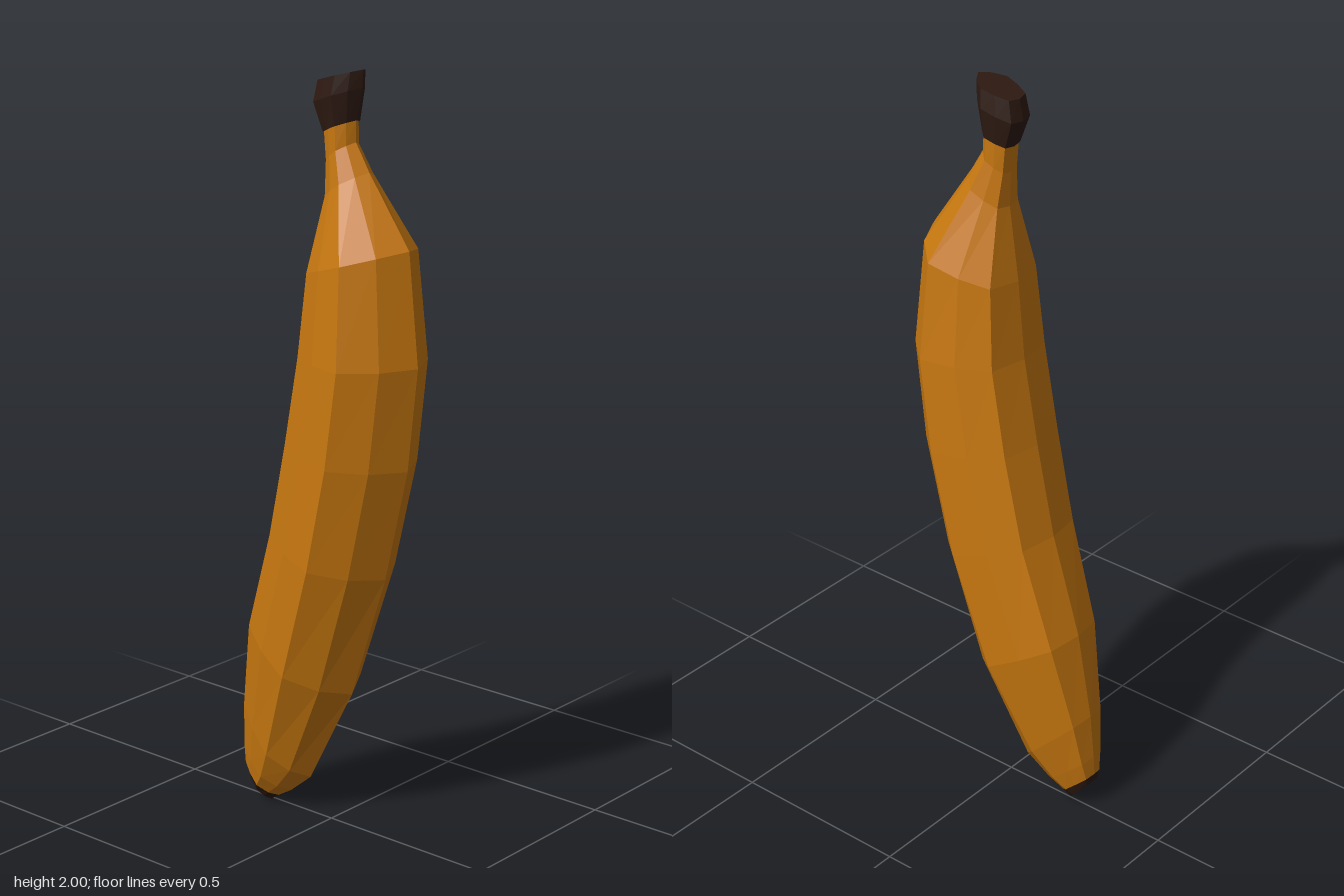
import * as THREE from 'three';

// Half of the five-ridged section: [share of half width, share of the way front to back]
const half = [[0, 0], [0.57, 0.14], [1, 0.38], [0.88, 0.68], [0.62, 0.94], [0, 1]];
const section = [...half, ...half.slice(1, -1).reverse().map(([x, t]) => [-x, t])];

// Rings from top to bottom: front z, front y, back z, back y, half width, x offset
const stemRings = [
  [0.11, 2.0, -0.018, 1.965, 0.05, -0.009],
  [0.107, 1.955, -0.028, 1.91, 0.057, -0.01],
  [0.09, 1.875, -0.003, 1.84, 0.046, -0.008],
];
const peelRings = [
  [0.086, 1.875, 0.0, 1.84, 0.042, -0.008],
  [0.086, 1.82, 0.007, 1.77, 0.043, -0.008],
  [0.127, 1.75, 0.01, 1.68, 0.063, -0.006],
  [0.25, 1.57, -0.022, 1.49, 0.143, 0],
  [0.28, 1.28, -0.042, 1.28, 0.167, 0],
  [0.25, 1.01, -0.085, 1.05, 0.17, 0],
  [0.18, 0.71, -0.14, 0.8, 0.166, 0],
  [0.07, 0.37, -0.225, 0.53, 0.147, 0],
  [-0.07, 0.1, -0.266, 0.29, 0.094, -0.004],
  [-0.135, 0.045, -0.276, 0.16, 0.064, -0.008],
  [-0.18, 0.018, -0.278, 0.105, 0.046, -0.01],
];
const tipRings = [
  [-0.18, 0.018, -0.278, 0.105, 0.046, -0.01],
  [-0.205, 0, -0.274, 0.08, 0.032, -0.01],
];

// Skins a stack of rings and closes both ends
function loft(name, rings, color) {
  const n = section.length, pos = [], index = [];
  for (const [fz, fy, bz, by, w, ox] of rings)
    for (const [x, t] of section)
      pos.push(ox + x * w, fy + (by - fy) * t, fz + (bz - fz) * t);
  for (let r = 0; r < rings.length - 1; r++)
    for (let i = 0; i < n; i++) {
      const j = (i + 1) % n, a = r * n, b = a + n;
      index.push(b + i, b + j, a + j, b + i, a + j, a + i);
    }
  const last = (rings.length - 1) * n;
  for (let i = 1; i < n - 1; i++) {
    index.push(0, i, i + 1);
    index.push(last, last + i + 1, last + i);
  }
  const indexed = new THREE.BufferGeometry();
  indexed.setAttribute('position', new THREE.Float32BufferAttribute(pos, 3));
  indexed.setIndex(index);
  const geometry = indexed.toNonIndexed();
  geometry.computeVertexNormals();
  const mesh = new THREE.Mesh(geometry, new THREE.MeshStandardMaterial({ color, flatShading: true }));
  mesh.name = name;
  return mesh;
}

export function createModel() {
  const banana = new THREE.Group();
  banana.name = 'banana';
  banana.add(
    loft('stemEnd', stemRings, 0x2e1a12),
    loft('peel', peelRings, 0xc87810),
    loft('blossomTip', tipRings, 0x2e1a12),
  );
  return banana;
}
